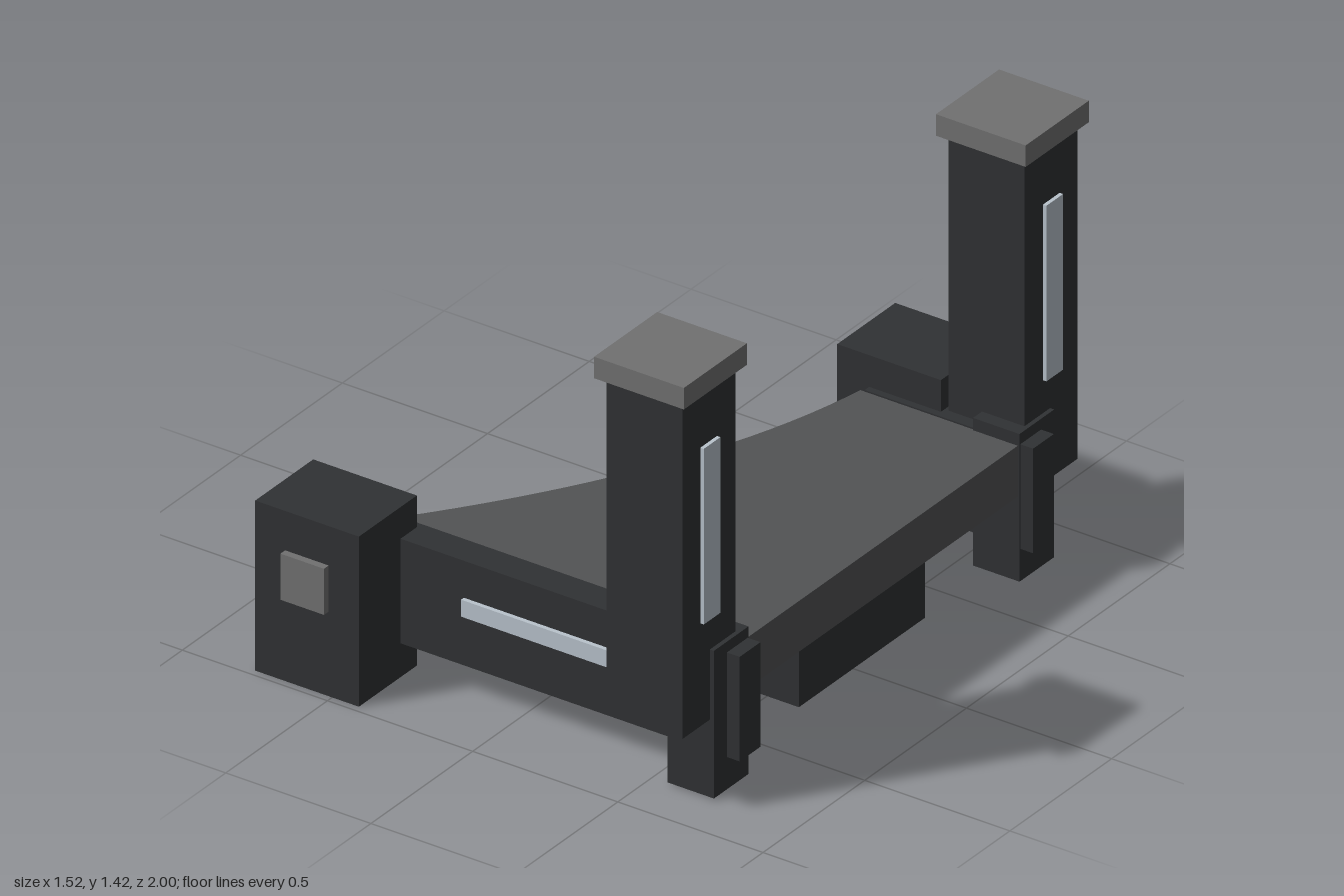
import * as THREE from 'three';

export function createModel() {
  const model = new THREE.Group();
  const paint = (color) => new THREE.MeshStandardMaterial({ color });
  const dark = paint(0x303234);
  const deckGrey = paint(0x525354);
  const trim = paint(0x717171);
  const light = paint(0xb9c3cc);

  // Box given by its limits along each axis
  function box(name, material, [x0, x1], [y0, y1], [z0, z1], parent = model) {
    const mesh = new THREE.Mesh(new THREE.BoxGeometry(x1 - x0, y1 - y0, Math.abs(z1 - z0)), material);
    mesh.position.set((x0 + x1) / 2, (y0 + y1) / 2, (z0 + z1) / 2);
    mesh.name = name;
    parent.add(mesh);
  }

  // Deck: flat slab with a concave left edge
  const outline = new THREE.Shape();
  outline.moveTo(0.71, 0.67);
  outline.lineTo(0.165, 0.67);
  outline.quadraticCurveTo(0.06, 0.02, -0.49, -0.67);
  outline.lineTo(0.71, -0.67);
  outline.closePath();
  const deckGeometry = new THREE.ExtrudeGeometry(outline, { depth: 0.165, bevelEnabled: false, curveSegments: 20 });
  deckGeometry.rotateX(-Math.PI / 2);
  const deck = new THREE.Mesh(deckGeometry, deckGrey);
  deck.position.y = 0.28;
  deck.name = 'deck';
  model.add(deck);

  // Housing hung below the deck
  box('underDeckHousing', dark, [0.24, 0.64], [0.03, 0.27], [-0.31, 0.31]);

  // The two ends mirror in z, but the front one reaches further along -x
  const ends = [
    { name: 'frontEnd', s: 1, beamStart: -0.59, blockStart: -0.765 },
    { name: 'backEnd', s: -1, beamStart: 0.18, blockStart: 0.07 },
  ];
  for (const { name, s, beamStart, blockStart } of ends) {
    const end = new THREE.Group();
    end.name = name;
    model.add(end);
    const part = (n, m, x, y, z) => box(n, m, x, y, z.map((v) => v * s), end);

    part('sideBeam', dark, [beamStart, 0.76], [0.11, 0.45], [0.67, 0.772]);

    // Corner block with a square plate on its outer face
    part('cornerBlock', dark, [blockStart, blockStart + 0.357], [0, 0.553], [0.692, 0.977]);
    part('blockPlate', trim, [blockStart + 0.103, blockStart + 0.253], [0.275, 0.425], [0.977, 1]);

    // Tall post with bracket, cap and lit strip
    part('postBracket', dark, [0.556, 0.716], [0.005, 0.485], [0.666, 0.836]);
    part('post', dark, [0.44, 0.702], [0.257, 1.347], [0.71, 0.971]);
    part('postCap', trim, [0.415, 0.724], [1.347, 1.417], [0.685, 0.995]);
    part('postLight', light, [0.702, 0.714], [0.592, 1.163], [0.801, 0.883]);
  }

  // Lit strip along the front beam
  box('beamLight', light, [-0.19, 0.415], [0.275, 0.33], [0.772, 0.786]);

  return model;
}
